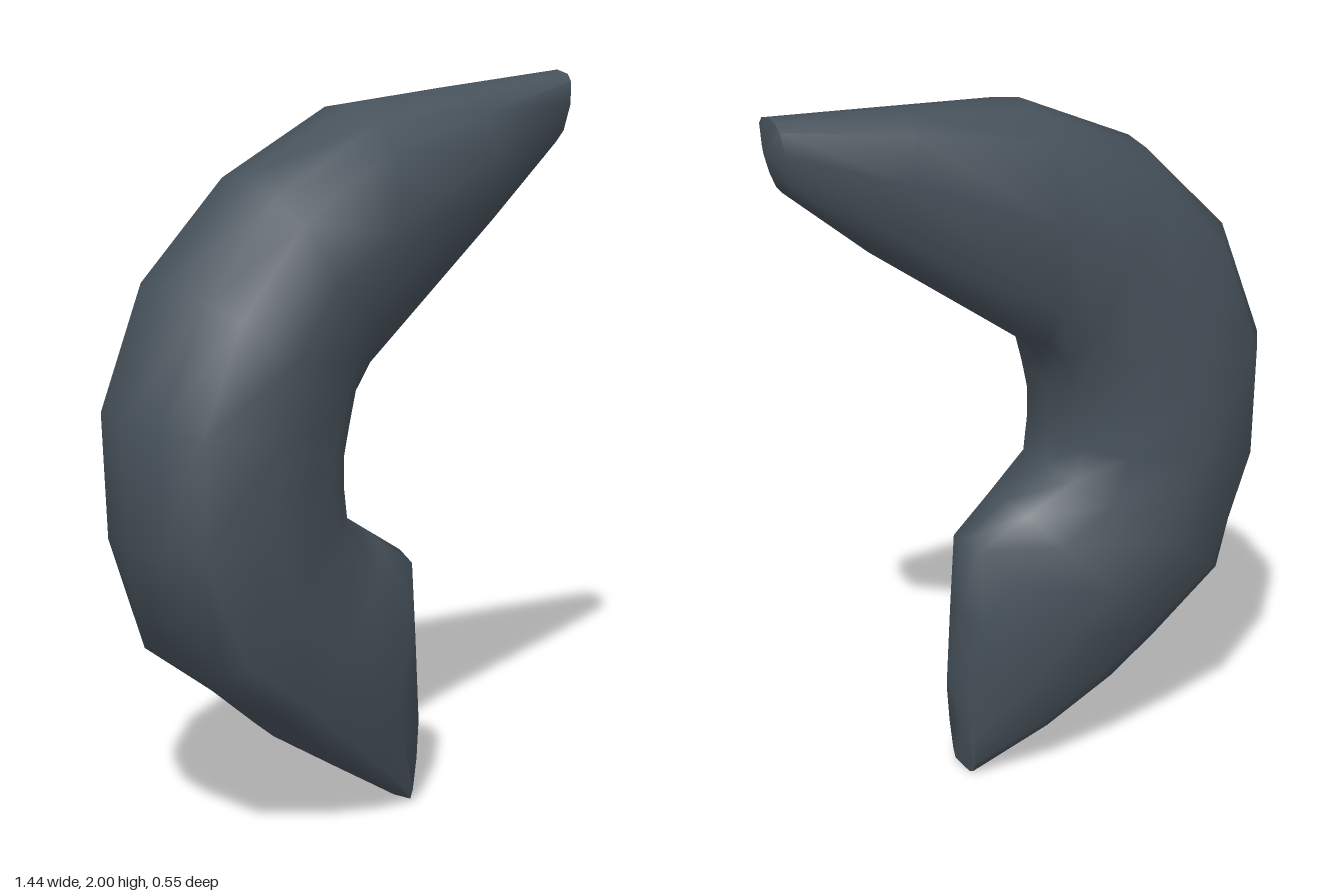
import * as THREE from 'three';
import { toCreasedNormals } from 'three/addons/utils/BufferGeometryUtils.js';

// Stations along the curve: outer point, inner point, then for the front and the back side
// [depth, outer edge share of depth, outer edge share across, inner edge z]
const STATIONS = [
  [[0.705, 2.0], [0.67, 1.8], [0.065, 0.55, 0.04, 0.03], [0.06, 0.55, 0.03, 0.03]],
  [[0.35, 1.975], [0.43, 1.6], [0.13, 0.45, 0.05, 0.05], [0.155, 0.55, 0.02, 0.06]],
  [[0.0, 1.95], [-0.04, 1.26], [0.21, 0.45, 0.05, 0.11], [0.25, 0.55, 0.02, 0.11]],
  [[-0.35, 1.79], [-0.09, 1.2], [0.24, 0.42, 0.07, 0.13], [0.258, 0.48, 0.02, 0.13]],
  [[-0.6, 1.53], [-0.11, 1.12], [0.258, 0.42, 0.07, 0.14], [0.268, 0.5, 0.01, 0.13]],
  [[-0.72, 1.2], [-0.123, 1.05], [0.268, 0.45, 0.02, 0.14], [0.272, 0.55, 0.01, 0.13]],
  [[-0.72, 0.86], [-0.123, 0.97], [0.274, 0.48, 0.01, 0.14], [0.272, 0.5, 0.02, 0.13]],
  [[-0.58, 0.52], [-0.11, 0.89], [0.25, 0.72, 0.03, 0.13], [0.255, 0.72, 0.02, 0.125]],
  [[-0.37, 0.36], [0.02, 0.805], [0.225, 0.75, 0.03, 0.1], [0.235, 0.75, 0.02, 0.09]],
  [[-0.25, 0.25], [0.15, 0.72], [0.198, 0.74, 0.03, 0.075], [0.208, 0.7, 0.02, 0.055]],
  [[-0.06, 0.13], [0.16, 0.5], [0.145, 0.82, 0.03, 0.07], [0.15, 0.7, 0.02, 0.1]],
  [[0.14, 0.005], [0.17, 0.3], [0.075, 0.85, 0.03, 0.06], [0.055, 0.5, 0.03, 0.05]],
];

// One side of a cross-section, from the outer to the inner edge, as [share across, z]
function halfSection([depth, share, across, innerZ]) {
  return [
    [across, depth * share],
    [0.1 + across, depth * (0.65 + 0.35 * share)],
    [0.44, depth],
    [0.8, depth * 0.65 + innerZ * 0.35],
    [0.96, innerZ],
  ];
}

function hornGeometry() {
  const points = [];
  const index = [];
  const n = 12;
  for (const [[ox, oy], [ix, iy], front, back] of STATIONS) {
    const ring = [
      [0, -0.3 * back[0] * back[1]],
      ...halfSection(front),
      [1, 0],
      ...halfSection(back).map(([t, z]) => [t, -z]).reverse(),
    ];
    for (const [t, z] of ring) points.push(ox + (ix - ox) * t, oy + (iy - oy) * t, z);
  }
  // Skin between neighbouring rings
  for (let i = 0; i < STATIONS.length - 1; i++) {
    for (let j = 0; j < n; j++) {
      const k = (j + 1) % n;
      const a = i * n + j, b = a + n, c = (i + 1) * n + k, d = i * n + k;
      index.push(a, b, d, b, c, d);
    }
  }
  // Blunt upper tip and lower end
  const last = (STATIONS.length - 1) * n;
  const tip = points.length / 3;
  points.push(0.72, 1.91, 0, 0.16, 0.15, 0);
  for (let j = 0; j < n; j++) {
    const k = (j + 1) % n;
    index.push(tip, j, k, tip + 1, last + k, last + j);
  }
  const geometry = new THREE.BufferGeometry();
  geometry.setAttribute('position', new THREE.Float32BufferAttribute(points, 3));
  geometry.setIndex(index);
  return toCreasedNormals(geometry, 1.1);
}

export function createModel() {
  const group = new THREE.Group();
  group.name = 'curvedHorn';
  const slate = new THREE.MeshStandardMaterial({ color: 0x47525b });
  slate.name = 'dark slate';
  const horn = new THREE.Mesh(hornGeometry(), slate);
  horn.name = 'hornBody';
  group.add(horn);
  return group;
}
